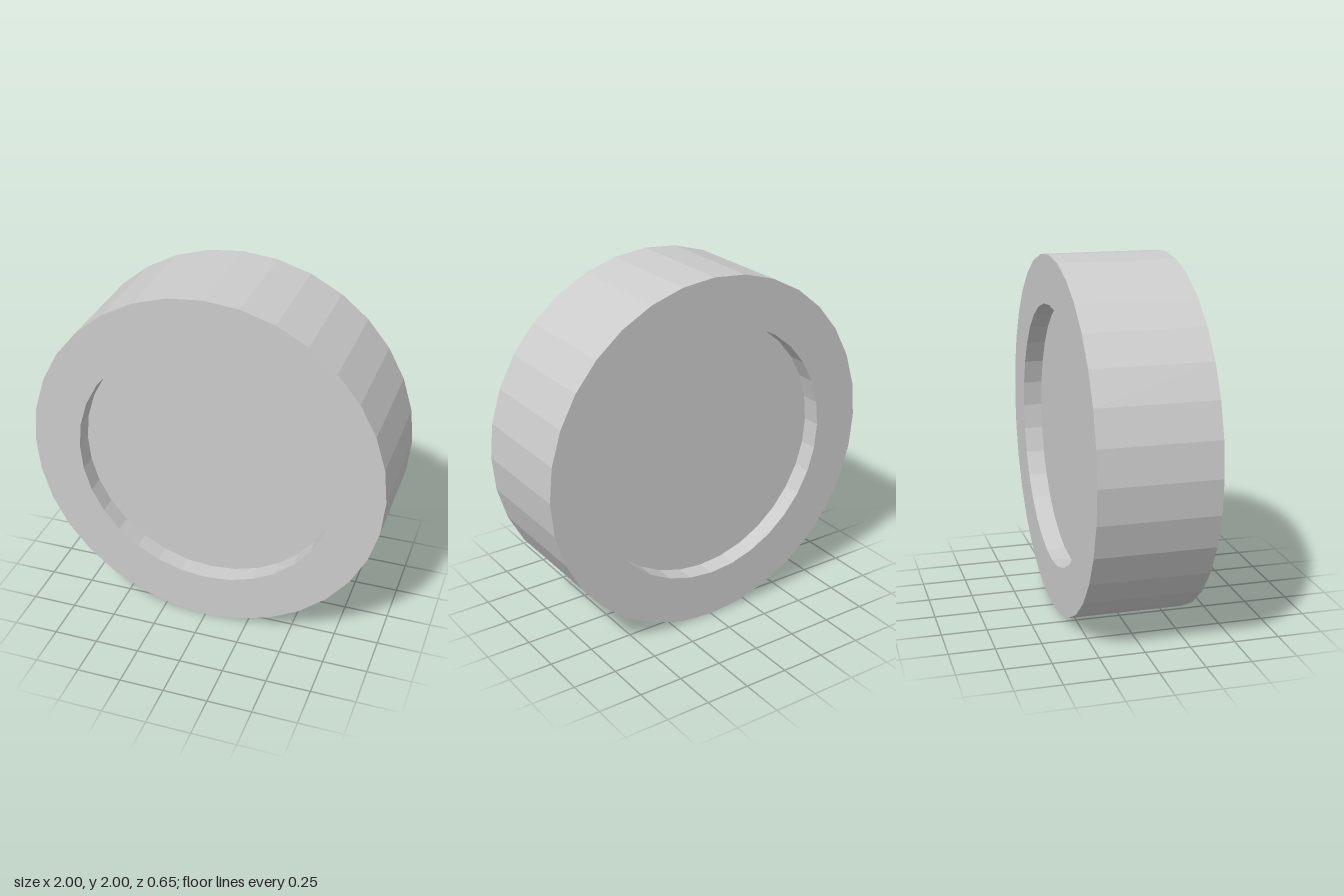
import * as THREE from 'three';

export function createModel() {
  const group = new THREE.Group();
  group.name = 'recessedWheel';

  const sides = 32;
  const outer = 1, inner = 0.73;   // tread and recess radii
  const half = 0.324;              // half of the width
  const floor = half - 0.107;      // recess floor on each face

  // Half section from the axis of one face, around the tread, to the other
  const profile = [
    [0, -floor], [inner, -floor], [inner, -half], [outer, -half],
    [outer, half], [inner, half], [inner, floor], [0, floor],
  ].map(([r, y]) => new THREE.Vector2(r, y));

  const geometry = new THREE.LatheGeometry(profile, sides);
  geometry.rotateX(Math.PI / 2);

  const material = new THREE.MeshStandardMaterial({ color: 0xcccccc, flatShading: true });
  const wheel = new THREE.Mesh(geometry, material);
  wheel.name = 'wheel';
  wheel.position.y = outer;
  group.add(wheel);

  return group;
}
